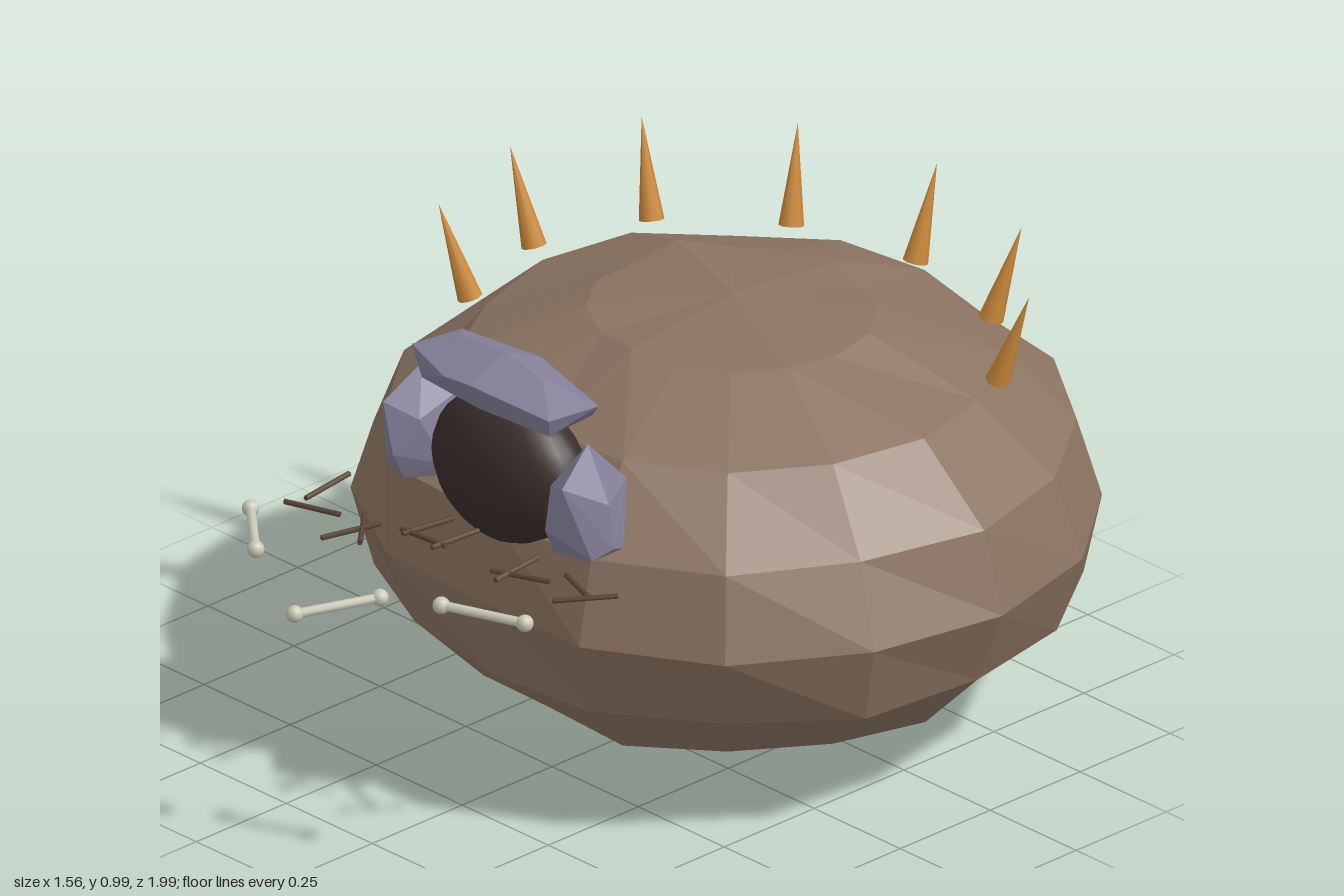
import * as THREE from 'three';
import { ConvexGeometry } from 'three/addons/geometries/ConvexGeometry.js';

const mat = (name, color, extra = {}) => {
  const m = new THREE.MeshStandardMaterial({ color, ...extra });
  m.name = name;
  return m;
};
const V = (x, y, z) => new THREE.Vector3(x, y, z);

export function createModel() {
  const group = new THREE.Group();
  const earth = mat('earth', 0x8b7361, { flatShading: true });
  const stone = mat('stone', 0x85809a, { flatShading: true });
  const dark = mat('caveDark', 0x3a2e2c);
  const horn = mat('horn', 0xcc8a3a);
  const bone = mat('bone', 0xcbcab8);
  const twig = mat('twig', 0x5c4636);

  const add = (name, geo, material, parent = group) => {
    const m = new THREE.Mesh(geo, material);
    m.name = name;
    parent.add(m);
    return m;
  };
  // cylinder or cone stretched between two points
  const rod = (name, a, b, r0, r1, sides, material, parent) => {
    const d = b.clone().sub(a);
    const m = add(name, new THREE.CylinderGeometry(r1, r0, d.length(), sides), material, parent);
    m.position.copy(a).add(b).multiplyScalar(0.5);
    m.quaternion.setFromUnitVectors(V(0, 1, 0), d.normalize());
    return m;
  };

  // Mound: faceted sphere with a different radius for each of 16 meridians, from the back round to +x
  const radii = [0.74, 0.71, 0.74, 0.765, 0.78, 0.78, 0.79, 0.77, 0.71,
    0.75, 0.77, 0.79, 0.78, 0.83, 0.73, 0.72];
  const mound = new THREE.SphereGeometry(1, 16, 8);
  const p = mound.attributes.position;
  for (let i = 0; i < p.count; i++) {
    const x = p.getX(i), y = p.getY(i), z = p.getZ(i);
    const k = (Math.round(Math.atan2(x, -z) / (Math.PI / 8)) + 16) % 16;
    const row = Math.round(Math.acos(THREE.MathUtils.clamp(y, -1, 1)) / (Math.PI / 8));
    const pole = row === 0 || row === 8;
    const wobble = pole || row === 4 ? 0 : 0.018 * Math.sin(k * 2.4 + row * 1.7);
    const r = THREE.MathUtils.lerp(radii[k], 0.77, row === 4 ? 0 : 0.4) * (1 + wobble);
    p.setXYZ(i, x * r, 0.45 + y * 0.445 * (1 + wobble * 0.8), z * r - 0.255);
  }
  mound.computeVertexNormals();
  add('mound', mound, earth);

  // Dark cave mouth
  const mouth = add('caveMouth', new THREE.SphereGeometry(1, 24, 16), dark);
  mouth.scale.set(0.2, 0.163, 0.11);
  mouth.position.set(0, 0.718, 0.365);

  // Stones beside the mouth
  const jamb = (name, s, cx, dz) => {
    const pts = [V(0, 0.868, 0.38)];
    [[0.64, 0.072, 0.075, 0], [0.775, 0.062, 0.095, 0.5]].forEach(([y, rx, rz, turn]) => {
      for (let i = 0; i < 5; i++) {
        const a = (i + turn) / 5 * Math.PI * 2;
        pts.push(V(Math.cos(a) * rx, y + (y > 0.7 ? 0.03 * Math.sin(i * 2) : 0), 0.38 + Math.sin(a) * rz));
      }
    });
    pts.push(V(0.078, 0.67, 0.39), V(-0.078, 0.66, 0.38), V(0.02, 0.7, 0.48));
    const m = add(name, new ConvexGeometry(pts.map(v => V(v.x * s, v.y, v.z))), stone);
    m.position.set(cx, 0, dz);
  };
  jamb('rightStone', 1, -0.247, -0.005);
  jamb('leftStone', -1, 0.25, 0.01);

  // Lintel stone
  add('lintelStone', new ConvexGeometry([
    V(0, 0.98, 0.38), V(-0.13, 0.965, 0.37), V(0.12, 0.965, 0.39),
    V(-0.23, 0.93, 0.42), V(-0.21, 0.93, 0.3), V(0.24, 0.935, 0.35), V(0.2, 0.92, 0.45),
    V(0, 0.94, 0.48), V(0, 0.935, 0.28), V(-0.08, 0.93, 0.475),
    V(-0.18, 0.88, 0.44), V(-0.17, 0.88, 0.31), V(0.19, 0.88, 0.44), V(0.18, 0.88, 0.31),
    V(0, 0.88, 0.455), V(0, 0.88, 0.3),
  ]), stone);

  // Horn spikes on an oval, every 30 degrees, leaning outwards
  for (let i = -4; i <= 2; i++) {
    const a = i * Math.PI / 6, s = Math.sin(a), c = Math.cos(a);
    rod('spike', V(s * 0.58, 0.79, -0.255 - c * 0.505), V(s * 0.65, 0.99, -0.255 - c * 0.565),
      0.026, 0, 8, horn);
  }

  // Bones with a knob at each end
  [[-0.39, 0.715, -0.25, 0.835], [0.19, 0.74, 0.365, 0.675], [0.08, 0.805, 0.015, 0.98]].forEach(([x0, z0, x1, z1]) => {
    const g = new THREE.Group();
    g.name = 'bone';
    group.add(g);
    const a = V(x0, 0.605, z0), b = V(x1, 0.605, z1);
    rod('boneShaft', a, b, 0.01, 0.01, 8, bone, g);
    [a, b].forEach(e => add('boneKnob', new THREE.SphereGeometry(0.018, 12, 8), bone, g).position.copy(e));
  });

  // Scattered twigs
  [[-0.37, 0.46, -0.35, 0.6], [-0.37, 0.64, -0.25, 0.6], [-0.22, 0.56, -0.13, 0.66],
    [-0.165, 0.57, -0.2, 0.7], [-0.12, 0.555, 0, 0.545], [-0.08, 0.45, -0.1, 0.57],
    [-0.005, 0.45, -0.015, 0.57], [0.165, 0.45, 0.18, 0.58], [0.14, 0.555, 0.26, 0.505],
    [0.26, 0.46, 0.37, 0.5], [0.4, 0.45, 0.325, 0.56],
  ].forEach(([x0, z0, x1, z1]) => rod('twig', V(x0, 0.602, z0), V(x1, 0.602, z1), 0.006, 0.006, 5, twig));

  return group;
}
